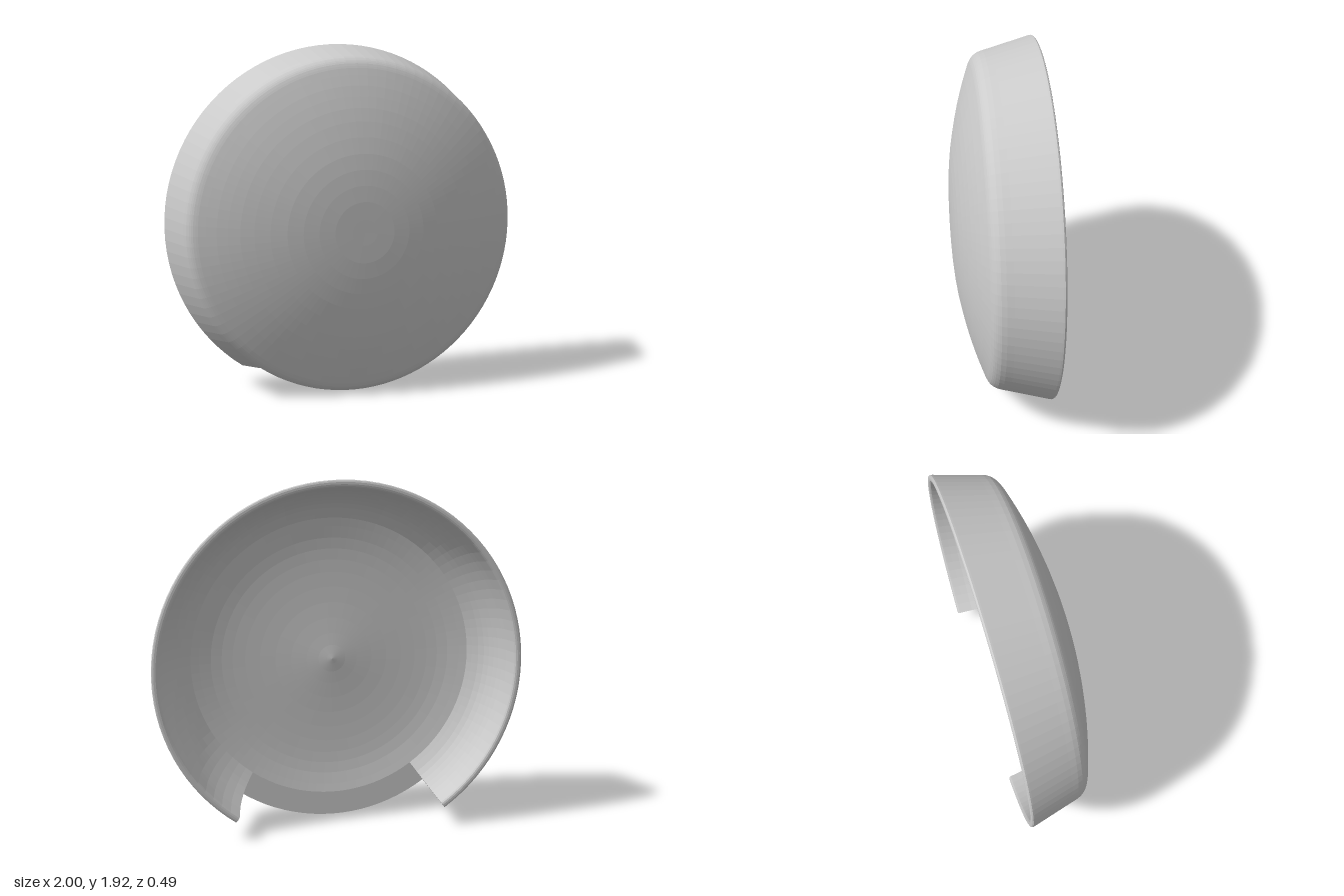
import * as THREE from 'three';

const V = (r, z) => new THREE.Vector2(r, z);
const CUT = 0.623;      // half angle of the opening at the bottom
const SEAM = 0.055;     // depth at which the opening ends
const CENTRE_Y = 0.92;

// Smooth curve through (radius, depth) points
const smooth = (pts, n) => new THREE.SplineCurve(pts).getPoints(n);

export function createModel() {
  const group = new THREE.Group();
  group.name = 'dish';
  const material = new THREE.MeshStandardMaterial({ color: 0xcccccc, side: THREE.DoubleSide, flatShading: true });

  // Profiles run inner centre -> rim -> outer centre
  const innerFront = smooth([V(0, 0.06), V(0.1, 0.072), V(0.3, 0.084), V(0.5, 0.086), V(0.65, 0.078), V(0.785, SEAM)], 12);
  const innerRear = smooth([V(0.785, SEAM), V(0.855, 0.005), V(0.905, -0.06), V(0.94, -0.135), V(0.96, -0.225)], 10);
  const lip = [V(0.962, -0.234), V(0.968, -0.242), V(0.977, -0.245), V(0.988, -0.245),
    V(0.996, -0.242), V(1, -0.235), V(0.998, -0.226)];
  const outerRear = [V(0.938, -0.005), V(0.929, 0.03), V(0.92, SEAM)];
  const corner = smooth([V(0.92, SEAM), V(0.907, 0.074), V(0.889, 0.09), V(0.865, 0.102)], 6);
  const dome = smooth([V(0.865, 0.102), V(0.75, 0.142), V(0.6, 0.184), V(0.4, 0.224), V(0.2, 0.243), V(0, 0.245)], 12);
  const outerFront = [...corner, ...dome.slice(1)];

  function add(name, geometry) {
    geometry.rotateX(Math.PI / 2);      // lathe axis to z
    geometry.translate(0, CENTRE_Y, 0);
    const mesh = new THREE.Mesh(geometry, material);
    mesh.name = name;
    group.add(mesh);
  }
  const lathe = (pts, open) => open
    ? new THREE.LatheGeometry(pts, 20, -CUT, 2 * CUT)
    : new THREE.LatheGeometry(pts, 80, CUT, 2 * Math.PI - 2 * CUT);

  // Full-depth shell around most of the circle
  add('shell', lathe([...innerFront, ...innerRear.slice(1), ...lip, ...outerRear, ...outerFront.slice(1)], false));

  // Shallow sector above the opening, with its flat ledge
  add('openingOuterFace', lathe(outerFront, true));
  add('openingInnerFace', lathe(innerFront, true));
  add('openingLedge', lathe([V(0.785, SEAM), V(0.92, SEAM)], true));

  // Cut ends of the side wall
  for (const side of [-1, 1]) {
    const cap = new THREE.ShapeGeometry(new THREE.Shape([...innerRear, ...lip, ...outerRear]));
    cap.rotateY(side * CUT - Math.PI / 2);
    add(side > 0 ? 'leftWallEnd' : 'rightWallEnd', cap);
  }
  return group;
}
